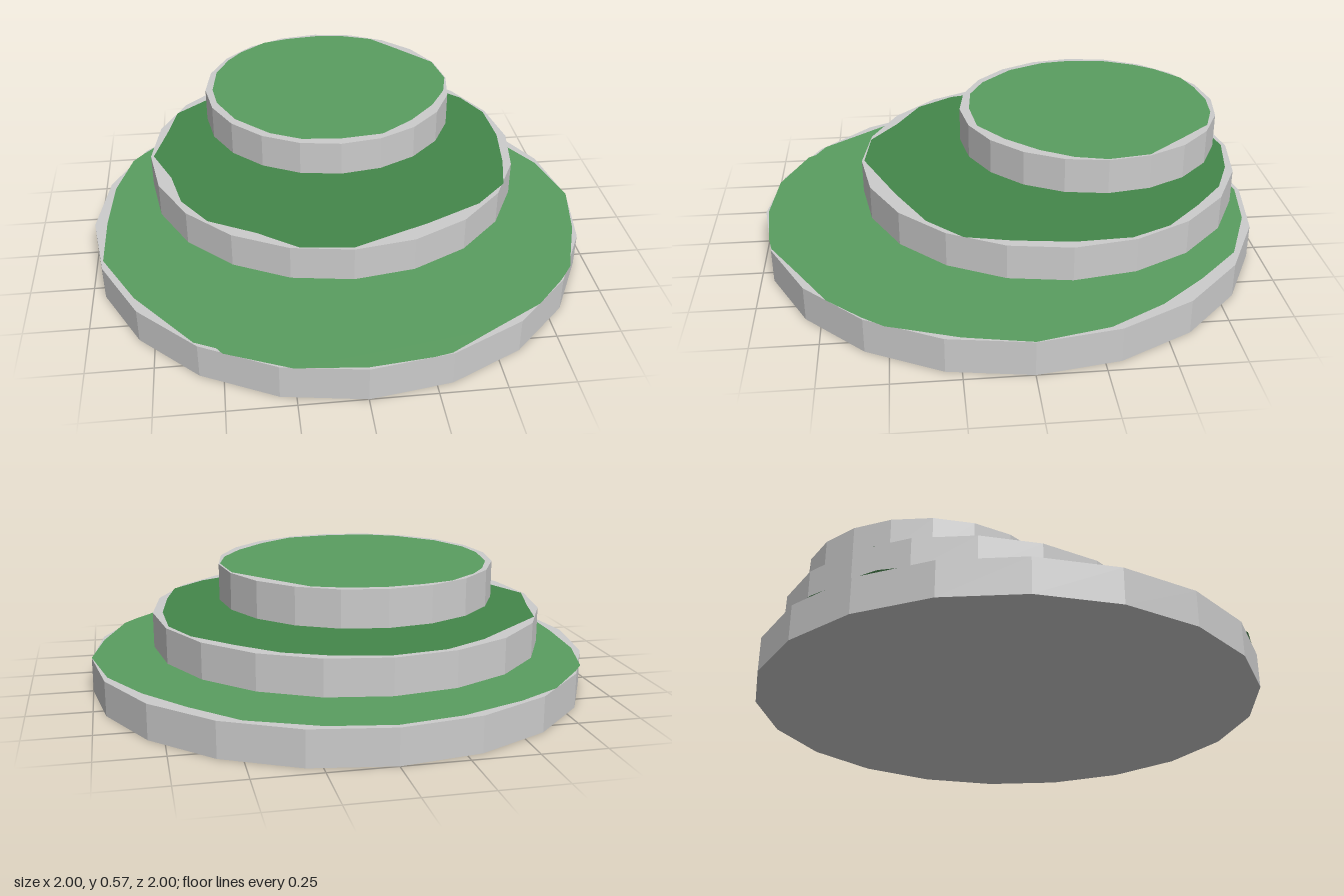
import * as THREE from 'three';

const SIDES = 20;

// Uneven grass outlines as [x, z] pairs
const lowerGrass = [
  [0, -.98], [.24, -.94], [.5, -.83], [.67, -.66], [.82, -.48], [.94, -.27], [1, 0], [.95, .25],
  [.88, .45], [.86, .51], [.8, .59], [.68, .72], [.48, .84], [.3, .95], [.23, .965], [0, .99],
  [-.26, .965], [-.5, .86], [-.52, .83], [-.6, .79], [-.82, .51], [-.95, .26], [-.95, 0],
  [-.93, -.27], [-.865, -.5], [-.82, -.56], [-.66, -.74], [-.49, -.84], [-.24, -.94],
];
const middleGrass = [
  [0, -.9], [.2, -.86], [.36, -.79], [.5, -.67], [.64, -.53], [.71, -.38], [.72, -.17], [.69, .05],
  [.65, .22], [.52, .35], [.3, .46], [0, .585], [-.2, .56], [-.35, .45], [-.53, .35], [-.63, .2],
  [-.67, .02], [-.745, -.16], [-.69, -.36], [-.65, -.53], [-.36, -.78], [-.2, -.87],
];
const upperGrass = [
  [0, -.815], [.13, -.8], [.25, -.755], [.35, -.64], [.485, -.48], [.51, -.32], [.48, -.2],
  [.41, -.08], [.3, .04], [.17, .135], [0, .155], [-.15, .14], [-.27, .08], [-.4, -.05],
  [-.47, -.2], [-.485, -.32], [-.465, -.48], [-.41, -.6], [-.35, -.68], [-.24, -.77], [-.13, -.8],
];

const tiers = [
  { name: 'lower', radius: 1, y0: 0, y1: .137, z: 0, grass: lowerGrass, color: 0x5a9e60 },
  { name: 'middle', radius: .757, y0: .218, y1: .353, z: -.162, grass: middleGrass, color: 0x44874a },
  { name: 'upper', radius: .515, y0: .432, y1: .567, z: -.322, grass: upperGrass, color: 0x5a9e60 },
];

export function createModel() {
  const group = new THREE.Group();
  group.name = 'tieredPlatforms';
  const stone = new THREE.MeshStandardMaterial({ color: 0xcccccc, flatShading: true });

  for (const { name, radius, y0, y1, z, grass, color } of tiers) {
    // Faceted stone disc, stepped towards the back
    const disc = new THREE.Mesh(new THREE.CylinderGeometry(radius, radius, y1 - y0, SIDES), stone);
    disc.name = name + 'Disc';
    disc.position.set(0, (y0 + y1) / 2, z);

    // Thin grass sheet lying on the disc
    const outline = new THREE.Shape(grass.map(([x, pz]) => new THREE.Vector2(x, -pz)));
    const sheet = new THREE.Mesh(
      new THREE.ShapeGeometry(outline).rotateX(-Math.PI / 2),
      new THREE.MeshStandardMaterial({ color, side: THREE.DoubleSide }),
    );
    sheet.name = name + 'Grass';
    sheet.position.y = y1 + .002;

    group.add(disc, sheet);
  }
  return group;
}
